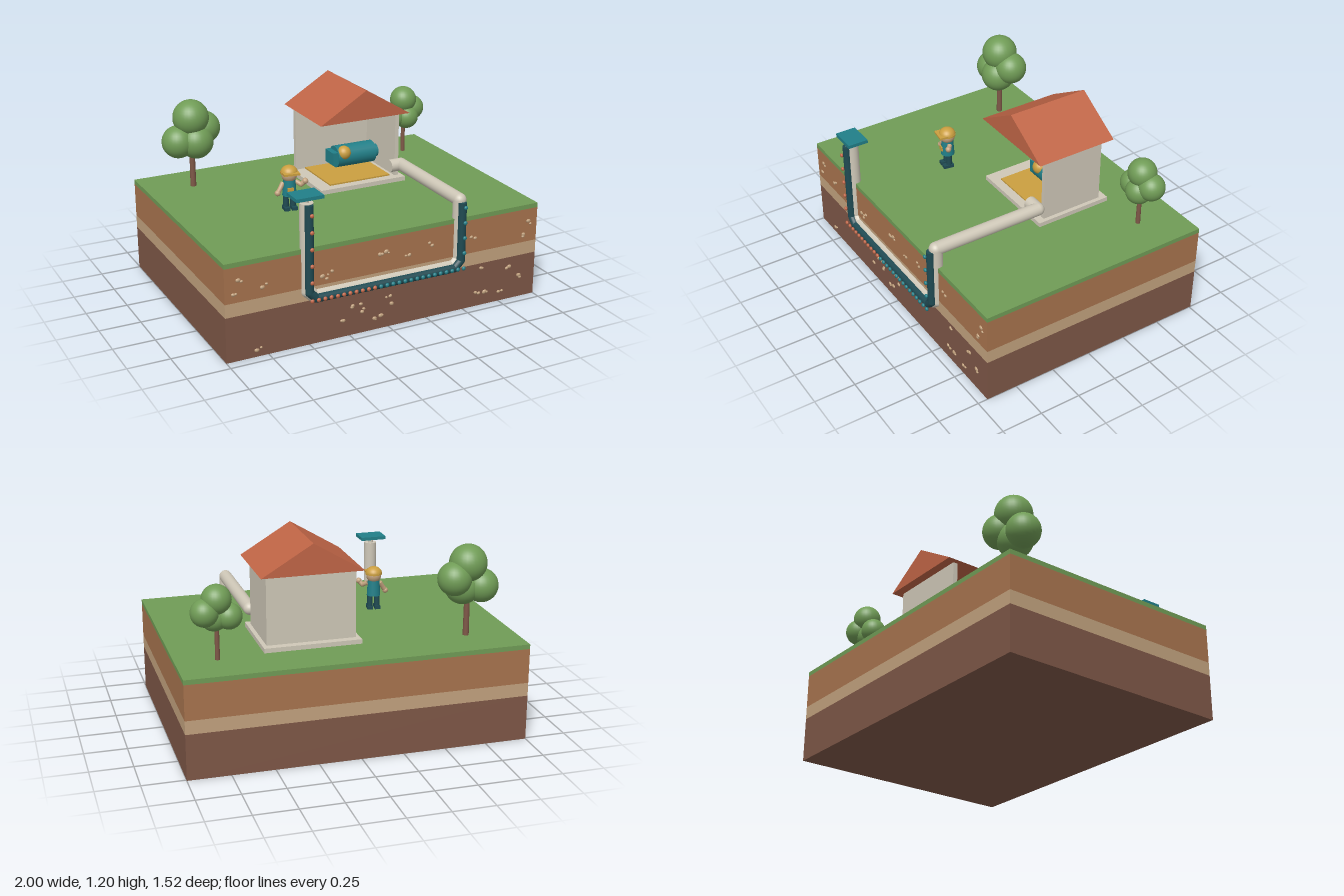
import * as THREE from 'three';

const mat = (name, color) => new THREE.MeshStandardMaterial({ name, color });

export function createModel() {
  const M = {
    green: mat('leaf green', 0x709c56),
    soil: mat('soil brown', 0xa8744e),
    tan: mat('sand tan', 0xc2a27e),
    dark: mat('deep earth brown', 0x7e5747),
    cream: mat('warm cream', 0xcfc8b8),
    roof: mat('terracotta', 0xc06546),
    teal: mat('teal', 0x217f88),
    navy: mat('dark teal', 0x1f4a52),
    gold: mat('golden yellow', 0xcb9f40),
  };
  const model = new THREE.Group();
  model.name = 'groundWaterDiorama';

  const add = (parent, name, geo, material, x = 0, y = 0, z = 0) => {
    const m = new THREE.Mesh(geo, material);
    m.name = name;
    m.position.set(x, y, z);
    parent.add(m);
    return m;
  };
  const group = (name, x = 0, y = 0, z = 0) => {
    const g = new THREE.Group();
    g.name = name;
    g.position.set(x, y, z);
    model.add(g);
    return g;
  };
  // box from min / max corners
  const box = (parent, name, material, x0, x1, y0, y1, z0, z1) =>
    add(parent, name, new THREE.BoxGeometry(x1 - x0, y1 - y0, z1 - z0), material,
      (x0 + x1) / 2, (y0 + y1) / 2, (z0 + z1) / 2);
  const ball = (parent, name, material, r, x, y, z, n = 20) =>
    add(parent, name, new THREE.SphereGeometry(r, n, Math.ceil(n * 0.7)), material, x, y, z);
  // cylinder between two points
  const rod = (parent, name, material, a, b, r0, r1 = r0) => {
    const p = new THREE.Vector3(...a), q = new THREE.Vector3(...b);
    const d = q.clone().sub(p);
    const m = add(parent, name, new THREE.CylinderGeometry(r1, r0, d.length(), 20), material);
    m.position.copy(p).add(q).multiplyScalar(0.5);
    m.quaternion.setFromUnitVectors(new THREE.Vector3(0, 1, 0), d.normalize());
    return m;
  };
  // straight pipe runs with ball elbows
  const pipe = (parent, name, material, pts, r) => {
    for (let i = 1; i < pts.length; i++) {
      rod(parent, name + 'Run', material, pts[i - 1], pts[i], r);
      if (i < pts.length - 1) ball(parent, name + 'Elbow', material, r, ...pts[i]);
    }
  };

  // layered ground block
  const ground = group('ground');
  [['deepEarth', M.dark, 0, 0.27], ['sandLayer', M.tan, 0.27, 0.35],
    ['soilLayer', M.soil, 0.35, 0.557], ['grass', M.green, 0.557, 0.585]]
    .forEach(([n, m, y0, y1]) => box(ground, n, m, -1, 1, y0, y1, -0.76, 0.69));

  // pebbles on the cut front face, each with a small neighbour
  let seed = 7;
  const rnd = () => (seed = (seed * 16807) % 2147483647) / 2147483647;
  const spots = [-0.95, 0.4, -0.92, 0.48, -0.82, 0.04, -0.78, 0.41, -0.23, 0.18, -0.18, 0.18, -0.17, 0.13,
    -0.29, 0.1, -0.05, 0.08, -0.09, 0.07, 0.01, 0.19, 0.02, 0.14, -0.02, 0.47, -0.06, 0.46, 0.13, 0.42,
    0.28, 0.45, 0.57, 0.44, 0.61, 0.08, 0.65, 0.08, 0.75, 0.06, 0.82, 0.21, 0.89, 0.14, 0.91, 0.4,
    0.94, 0.48, 0.62, 0.24, -0.42, 0.4, -0.36, 0.42];
  const pebble = new THREE.SphereGeometry(1, 8, 6);
  for (let i = 0; i < spots.length; i += 2) {
    for (let k = 0; k < 2; k++) {
      const p = add(ground, 'pebble', pebble, M.tan,
        spots[i] + k * (rnd() - 0.5) * 0.06, spots[i + 1] + k * (rnd() - 0.5) * 0.04, 0.69);
      const s = (k ? 0.006 : 0.009) + rnd() * 0.004;
      p.scale.set(s * 1.3, s, 0.008);
      p.rotation.z = rnd() - 0.5;
    }
  }

  // pump house, open at the front and on one side
  const house = group('pumpHouse');
  box(house, 'slab', M.cream, -0.085, 0.49, 0.585, 0.612, -0.48, 0.005);
  box(house, 'floorMat', M.gold, 0, 0.41, 0.612, 0.621, -0.4, -0.05);
  box(house, 'backWall', M.cream, -0.06, 0.465, 0.612, 1.022, -0.435, -0.405);
  box(house, 'sideWall', M.cream, 0.44, 0.465, 0.612, 1.022, -0.405, -0.04);
  const gable = new THREE.Shape([[-0.3, 0], [0.3, 0], [0, 0.18]].map(p => new THREE.Vector2(...p)));
  add(house, 'roof', new THREE.ExtrudeGeometry(gable, { depth: 0.51, bevelEnabled: false }),
    M.roof, 0.205, 1.022, -0.49);

  // pump motor
  const pump = group('pump', 0, 0.718, -0.25);
  rod(pump, 'motorBody', M.teal, [0.13, 0, 0], [0.39, 0, 0], 0.068);
  rod(pump, 'outletCap', M.teal, [0.39, 0, 0], [0.42, 0, 0], 0.04);
  box(pump, 'endPlate', M.teal, 0.095, 0.13, -0.04, 0.04, -0.055, 0.055);
  ball(pump, 'gauge', M.gold, 0.044, 0.175, 0.03, 0.04);

  // U-shaped pipe, with its water channel along the front
  const U = (z, top, end) => [[-0.51, top, z], [-0.51, 0.33, z], [-0.47, 0.293, z],
    [0.42, 0.293, z], [0.46, 0.33, z], [0.46, end, z]];
  const pipes = group('pipework');
  pipe(pipes, 'pipe', M.cream,
    [...U(0.68, 0.848, 0.695), [0.46, 0.695, 0], [0.38, 0.695, 0]], 0.039);
  pipe(pipes, 'channel', M.navy,
    U(0.714, 0.845, 0.69).map(([x, y, z]) => [x, y - (Math.abs(x) < 0.48 && y < 0.3 ? 0.004 : 0), z]), 0.025);
  rod(pipes, 'inletNeck', M.cream, [-0.51, 0.84, 0.675], [-0.51, 0.88, 0.675], 0.017);
  box(pipes, 'inletPlate', M.teal, -0.593, -0.43, 0.877, 0.897, 0.612, 0.737);

  // flow beads, warm going in and cool coming out
  const bead = (m, x, y) => { ball(pipes, 'flowBead', m, 0.0125, x, y, 0.751, 10).scale.z = 0.75; };
  for (let i = 0; i < 5; i++) bead(M.roof, -0.51, 0.793 - i * 0.098);
  for (let i = 0; i < 4; i++) bead(M.teal, 0.46, 0.668 - i * 0.093);
  for (let i = 0; i < 26; i++) bead(i < 11 ? M.roof : M.teal, -0.51 + i * 0.0388, 0.293);

  // trees
  const tree = (name, x, z, trunkTop, r, leaves) => {
    const g = group(name, x, 0, z);
    rod(g, 'trunk', M.dark, [0, 0.58, 0], [0, trunkTop, 0], r, r * 0.85);
    leaves.forEach(([lr, ...p]) => ball(g, 'foliage', M.green, lr, ...p, 28));
  };
  tree('largeTree', -0.71, -0.5, 0.95, 0.018, [[0.11, 0, 1.02, 0], [0.1, 0.09, 0.94, -0.025],
    [0.1, -0.085, 0.88, 0], [0.105, 0.02, 0.875, 0.025]]);
  tree('smallTree', 0.76, -0.5, 0.88, 0.014, [[0.085, 0, 0.935, -0.005], [0.08, 0.07, 0.868, -0.02],
    [0.075, -0.07, 0.832, 0], [0.078, 0.01, 0.825, 0.02]]);

  // worker
  const worker = group('worker', -0.348, 0, 0.115);
  worker.rotation.y = -0.15;
  for (const s of [-1, 1]) {
    box(worker, 'shoe', M.navy, s * 0.023 - 0.017, s * 0.023 + 0.017, 0.585, 0.605, -0.025, 0.04);
    rod(worker, 'leg', M.navy, [s * 0.022, 0.6, 0], [s * 0.022, 0.69, 0], 0.017);
    ball(worker, 'eye', M.navy, 0.005, s * 0.016, 0.805, 0.043, 8);
  }
  rod(worker, 'torso', M.teal, [0, 0.672, 0], [0, 0.77, 0], 0.042, 0.036);
  box(worker, 'badge', M.gold, -0.022, 0.014, 0.7, 0.728, 0.037, 0.044);
  ball(worker, 'head', M.tan, 0.046, 0, 0.797, 0);
  [[[-0.038, 0.752, 0], [-0.058, 0.72, 0.01], [-0.075, 0.695, 0.015]],
    [[0.038, 0.752, 0], [0.066, 0.735, 0.02], [0.088, 0.758, 0.03]]].forEach(p => {
    pipe(worker, 'arm', M.tan, p, 0.014);
    ball(worker, 'hand', M.tan, 0.018, ...p[2], 12);
  });
  add(worker, 'cap', new THREE.SphereGeometry(0.051, 24, 8, 0, Math.PI * 2, 0, Math.PI / 2),
    M.gold, 0, 0.81, 0).scale.y = 0.85;
  rod(worker, 'capBand', M.gold, [0, 0.806, 0], [0, 0.816, 0], 0.052);
  box(worker, 'capBrim', M.gold, -0.048, 0.048, 0.808, 0.82, 0.01, 0.065);

  return model;
}
